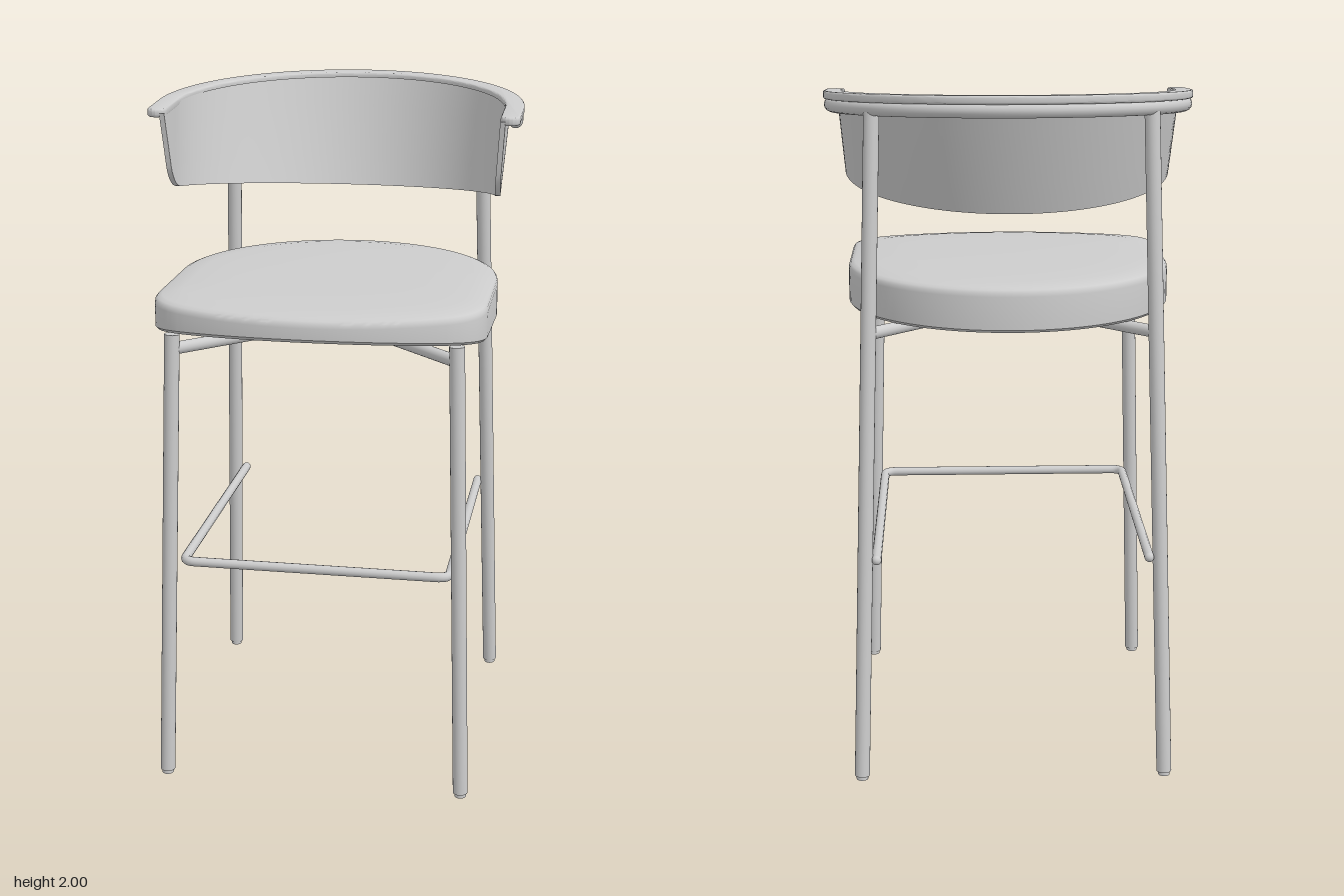
import * as THREE from 'three';
import { toCreasedNormals } from 'three/addons/utils/BufferGeometryUtils.js';

const V = (x, y, z) => new THREE.Vector3(x, y, z);
const mix = THREE.MathUtils.lerp;

// Skin of closed loops, listed bottom to top, each counterclockwise from above
function loft(rows, crease) {
  const n = rows[0].length, idx = [];
  for (let i = 0; i < rows.length - 1; i++) {
    for (let j = 0; j < n; j++) {
      const a = i * n + j, b = i * n + (j + 1) % n;
      idx.push(a, b, b + n, a, b + n, a + n);
    }
  }
  const g = new THREE.BufferGeometry().setFromPoints(rows.flat());
  g.setIndex(idx);
  return toCreasedNormals(g, crease);
}

export function createModel() {
  const group = new THREE.Group();
  const grey = new THREE.MeshStandardMaterial({ color: 0xcccccc });
  grey.name = 'light grey';

  const add = (name, geo) => {
    const m = new THREE.Mesh(geo, grey);
    m.name = name;
    group.add(m);
    return m;
  };
  const rod = (name, a, b, r) => {
    const m = add(name, new THREE.CylinderGeometry(r, r, a.distanceTo(b), 20));
    m.position.copy(a).add(b).multiplyScalar(0.5);
    m.quaternion.setFromUnitVectors(V(0, 1, 0), b.clone().sub(a).normalize());
  };
  const ball = (name, p, r) => add(name, new THREE.SphereGeometry(r, 16, 12)).position.copy(p);

  // Seat cushion: round back, straight sides, bowed front, domed top
  const outline = new THREE.Shape();
  outline.moveTo(0.477, 0);
  outline.absarc(0, 0, 0.477, 0, Math.PI);
  outline.lineTo(-0.478, -0.3);
  outline.bezierCurveTo(-0.478, -0.38, -0.44, -0.43, -0.37, -0.465);
  outline.bezierCurveTo(-0.25, -0.523, -0.12, -0.547, 0, -0.547);
  outline.bezierCurveTo(0.12, -0.547, 0.25, -0.523, 0.37, -0.465);
  outline.bezierCurveTo(0.44, -0.43, 0.478, -0.38, 0.478, -0.3);
  const edge = outline.getPoints(24);
  const front = z => (Math.max(0, z) / 0.55) ** 2;
  const under = z => 1.34 + 0.05 * front(z);
  const over = z => 1.476 - 0.012 * front(z);
  const ring = (k, f) => edge.map(p => V(p.x * k, f(-p.y * k), -p.y * k));
  const low = [[0, 0], [0.5, 0], [0.985, 0], [1, 0.008]];
  const high = [[1, 0.034], [0.996, 0.023], [0.985, 0.016], [0.96, 0.011], [0.85, 0.005], [0.6, 0.002], [0, 0]];
  add('seat', loft([
    ...low.map(([k, d]) => ring(k, z => under(z) + d)),
    ...high.map(([k, d]) => ring(k, z => over(z) - d)),
  ], 0.7));

  // Backrest shell: leaning curved band with rounded lower front corners
  const rimTop = z => 1.966 - 0.062 * z;
  const shellBottom = z => 1.711 + 0.133 * z;
  function shellPoint(s, v, inset) {
    const R = mix(0.5, 0.485, v) - inset;
    const zc = mix(0, 0.095, v);
    const t = Math.max(0, (v - 0.72) / 0.28);
    const zf = mix(0.145, 0.11, v) - 0.07 * (1 - Math.sqrt(1 - t * t));
    const arm = Math.max(0, zf - zc);
    const start = Math.asin(Math.max(0, zc - zf) / R);
    const arc = (Math.PI - 2 * start) * R;
    const d = s * (arc + 2 * arm);
    let x, z;
    if (d < arm) { x = R; z = zf - d; }
    else if (d > arm + arc) { x = -R; z = zc + d - arm - arc; }
    else {
      const a = start + (d - arm) / R;
      x = R * Math.cos(a);
      z = zc - R * Math.sin(a);
    }
    return V(x, mix(rimTop(z) - 0.012, shellBottom(z), v), z);
  }
  const N = 72;
  const shellRow = (v, inset) => {
    const row = [];
    for (let i = 0; i <= N; i++) row.push(shellPoint(i / N, v, inset));
    for (let i = N; i >= 0; i--) row.push(shellPoint(i / N, v, 0.015));
    return row;
  };
  const levels = [1, 0.995, 0.98, 0.95, 0.91, 0.86, 0.8, 0.72, 0.48, 0.24, 0];
  add('backrest', loft([shellRow(1, 0.015), ...levels.map(v => shellRow(v, 0))], 0.6));

  // Flat rim along the top of the backrest, ending in rounded arms
  const rim = new THREE.Shape();
  rim.moveTo(0.54, -0.12);
  rim.lineTo(0.54, 0.01);
  rim.absarc(0, 0.01, 0.54, 0, Math.PI);
  rim.lineTo(-0.54, -0.12);
  rim.absarc(-0.512, -0.12, 0.028, Math.PI, 2 * Math.PI);
  rim.lineTo(-0.484, 0.01);
  rim.absarc(0, 0.01, 0.484, Math.PI, 0, true);
  rim.lineTo(0.484, -0.12);
  rim.absarc(0.512, -0.12, 0.028, Math.PI, 2 * Math.PI);
  const rimGeo = new THREE.ExtrudeGeometry(rim, {
    depth: 0.012, bevelThickness: 0.006, bevelSize: 0.006, bevelOffset: -0.006,
    bevelSegments: 3, curveSegments: 40,
  });
  rimGeo.rotateX(-Math.PI / 2);
  const pos = rimGeo.attributes.position;
  for (let i = 0; i < pos.count; i++) pos.setY(i, pos.getY(i) + rimTop(pos.getZ(i)) - 0.018);
  add('backrestRim', toCreasedNormals(rimGeo, 0.7));

  // Bent tube carrying the rim
  const railPts = [];
  for (let i = 0; i <= 32; i++) {
    const a = Math.PI * i / 32, z = -0.01 - 0.515 * Math.sin(a);
    railPts.push(V(0.517 * Math.cos(a), 1.926 - 0.062 * z, z));
  }
  add('backRail', new THREE.TubeGeometry(new THREE.CatmullRomCurve3(railPts), 80, 0.021, 14));
  ball('backRailEnd', railPts[0], 0.021);
  ball('backRailEnd', railPts[32], 0.021);

  // Legs with small glides, and the crossed bars under the seat
  for (const s of [-1, 1]) {
    rod('frontLeg', V(s * 0.445, 0.012, 0.462), V(s * 0.405, 1.365, 0.423), 0.022);
    rod('backLeg', V(s * 0.446, 0.012, -0.488), V(s * 0.388, 1.94, -0.346), 0.022);
    rod('frontGlide', V(s * 0.445, 0, 0.462), V(s * 0.445, 0.03, 0.462), 0.017);
    rod('backGlide', V(s * 0.446, 0, -0.488), V(s * 0.446, 0.03, -0.486), 0.017);
    rod('crossBar', V(s * 0.405, 1.322, 0.423), V(-s * 0.405, 1.322, -0.39), 0.018);
  }

  // Three-sided footrest with rounded front corners
  const y = 0.67, fx = 0.393, fz = 0.41, r = 0.035;
  const path = new THREE.CurvePath();
  const corner = s => [V(s * fx, y, fz - r), V(s * fx, y, fz), V(s * (fx - r), y, fz)];
  const [l, rt] = [corner(1), corner(-1)];
  path.add(new THREE.LineCurve3(V(fx, y, -0.455), l[0]));
  path.add(new THREE.QuadraticBezierCurve3(...l));
  path.add(new THREE.LineCurve3(l[2], rt[2]));
  path.add(new THREE.QuadraticBezierCurve3(rt[2], rt[1], rt[0]));
  path.add(new THREE.LineCurve3(rt[0], V(-fx, y, -0.455)));
  add('footrest', new THREE.TubeGeometry(path, 240, 0.014, 12));
  for (const s of [-1, 1]) ball('footrestEnd', V(s * fx, y, -0.455), 0.014);

  return group;
}
